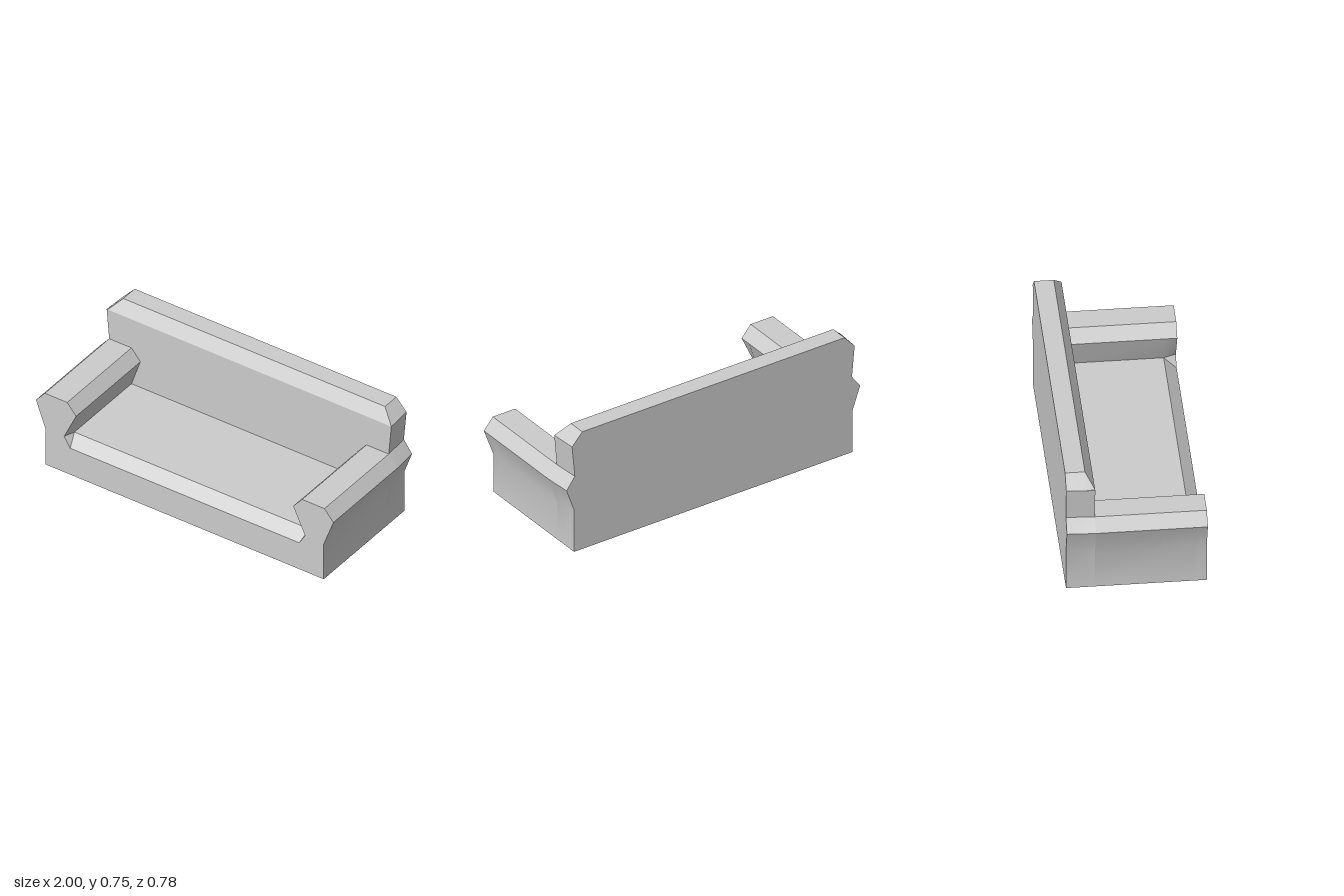
import * as THREE from 'three';
import { toCreasedNormals } from 'three/addons/utils/BufferGeometryUtils.js';

const material = new THREE.MeshStandardMaterial({ color: 0xcccccc });

// Mirror a right-hand half outline (listed bottom to top) into a closed loop at depth z
function section(z, half) {
  const mirrored = half.map(([x, y]) => [-x, y]).reverse();
  return [...half, ...mirrored].map(([x, y]) => new THREE.Vector3(x, y, z));
}

// Skin a list of matching sections, ordered front to back, with optional end caps
function loft(name, sections, capFront, capBack) {
  const points = [];
  const tri = (a, b, c) => {
    const area = b.clone().sub(a).cross(c.clone().sub(a)).length();
    if (area > 1e-7) [a, b, c].forEach((p) => points.push(p.x, p.y, p.z));
  };
  for (let k = 0; k + 1 < sections.length; k++) {
    const f = sections[k], r = sections[k + 1];
    for (let i = 0; i < f.length; i++) {
      const j = (i + 1) % f.length;
      tri(f[i], r[i], r[j]);
      tri(f[i], r[j], f[j]);
    }
  }
  const cap = (loop, flip) => {
    const flat = loop.map((p) => new THREE.Vector2(p.x, p.y));
    for (const [a, b, c] of THREE.ShapeUtils.triangulateShape(flat, [])) {
      if (flip) tri(loop[c], loop[b], loop[a]);
      else tri(loop[a], loop[b], loop[c]);
    }
  };
  if (capFront) cap(sections[0], false);
  if (capBack) cap(sections[sections.length - 1], true);

  const geometry = new THREE.BufferGeometry();
  geometry.setAttribute('position', new THREE.Float32BufferAttribute(points, 3));
  const mesh = new THREE.Mesh(toCreasedNormals(geometry, 0.5), material);
  mesh.name = name;
  return mesh;
}

export function createModel() {
  const group = new THREE.Group();
  group.name = 'sofa';

  // Seat and flared armrests share one outline; the seat's front edge is bevelled
  const armOutline = [[0.935, 0], [0.935, 0.24], [1, 0.415], [0.94, 0.485], [0.79, 0.485], [0.73, 0.415]];
  const frontEdge = [...armOutline, [0.81, 0.245], [0.77, 0.18]];
  const seatLine = [...armOutline, [0.79, 0.24], [0.79, 0.24]];
  group.add(loft('seatAndArmrests', [
    section(0.39, frontEdge),
    section(0.32, seatLine),
    section(-0.23, seatLine),
  ], true, false));

  // Backrest with a bevelled front top edge and clipped shoulders
  group.add(loft('backrest', [
    section(-0.23, [[0.935, 0], [0.935, 0.24], [1, 0.415], [0.94, 0.485], [0.957, 0.68], [0.95, 0.68]]),
    section(-0.28, [[0.935, 0], [0.935, 0.25], [0.995, 0.413], [0.937, 0.485], [0.955, 0.68], [0.88, 0.755]]),
    section(-0.39, [[0.935, 0], [0.935, 0.27], [0.985, 0.41], [0.93, 0.485], [0.948, 0.68], [0.88, 0.755]]),
  ], true, true));

  return group;
}
